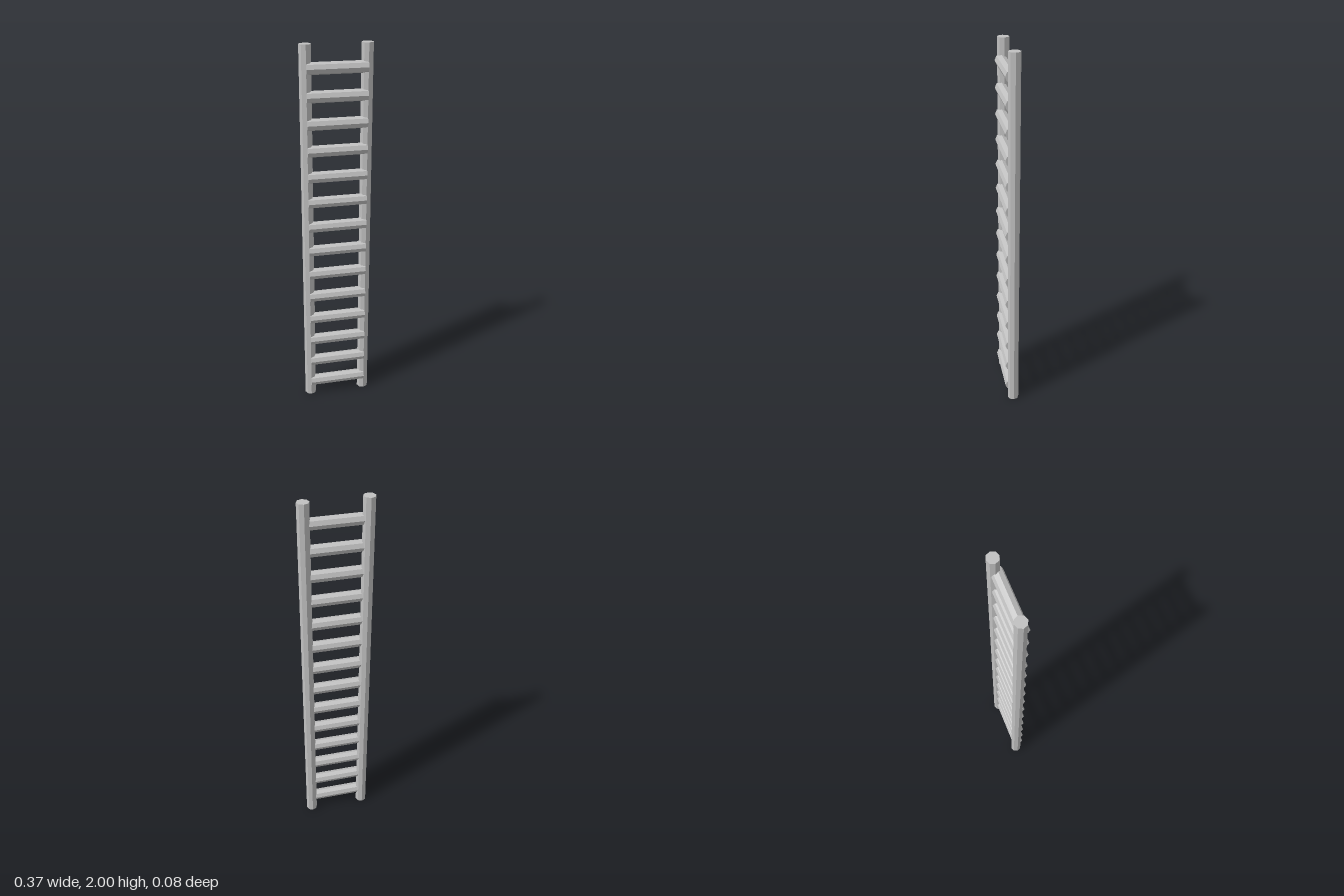
import * as THREE from 'three';

const RADIUS = 0.031;
const RAIL_X = 0.155;
const RUNG_COUNT = 14;

export function createModel() {
  const ladder = new THREE.Group();
  ladder.name = 'ladder';
  const greyMetal = new THREE.MeshStandardMaterial({ color: 0xc0c0c0, flatShading: true });
  greyMetal.name = 'grey metal';

  // Two octagonal upright rails
  const railGeometry = new THREE.CylinderGeometry(RADIUS, RADIUS, 2, 8);
  for (const side of [-1, 1]) {
    const rail = new THREE.Mesh(railGeometry, greyMetal);
    rail.name = side > 0 ? 'leftRail' : 'rightRail';
    rail.position.set(side * RAIL_X, 1, -0.007);
    ladder.add(rail);
  }

  // Evenly spaced octagonal rungs, set slightly forward of the rails
  const rungGeometry = new THREE.CylinderGeometry(RADIUS, RADIUS, RAIL_X * 2, 8).rotateZ(Math.PI / 2);
  for (let i = 0; i < RUNG_COUNT; i++) {
    const rung = new THREE.Mesh(rungGeometry, greyMetal);
    rung.name = `rung${i + 1}`;
    rung.position.set(0, 0.086 + i * 0.1383, 0.006);
    ladder.add(rung);
  }
  return ladder;
}
